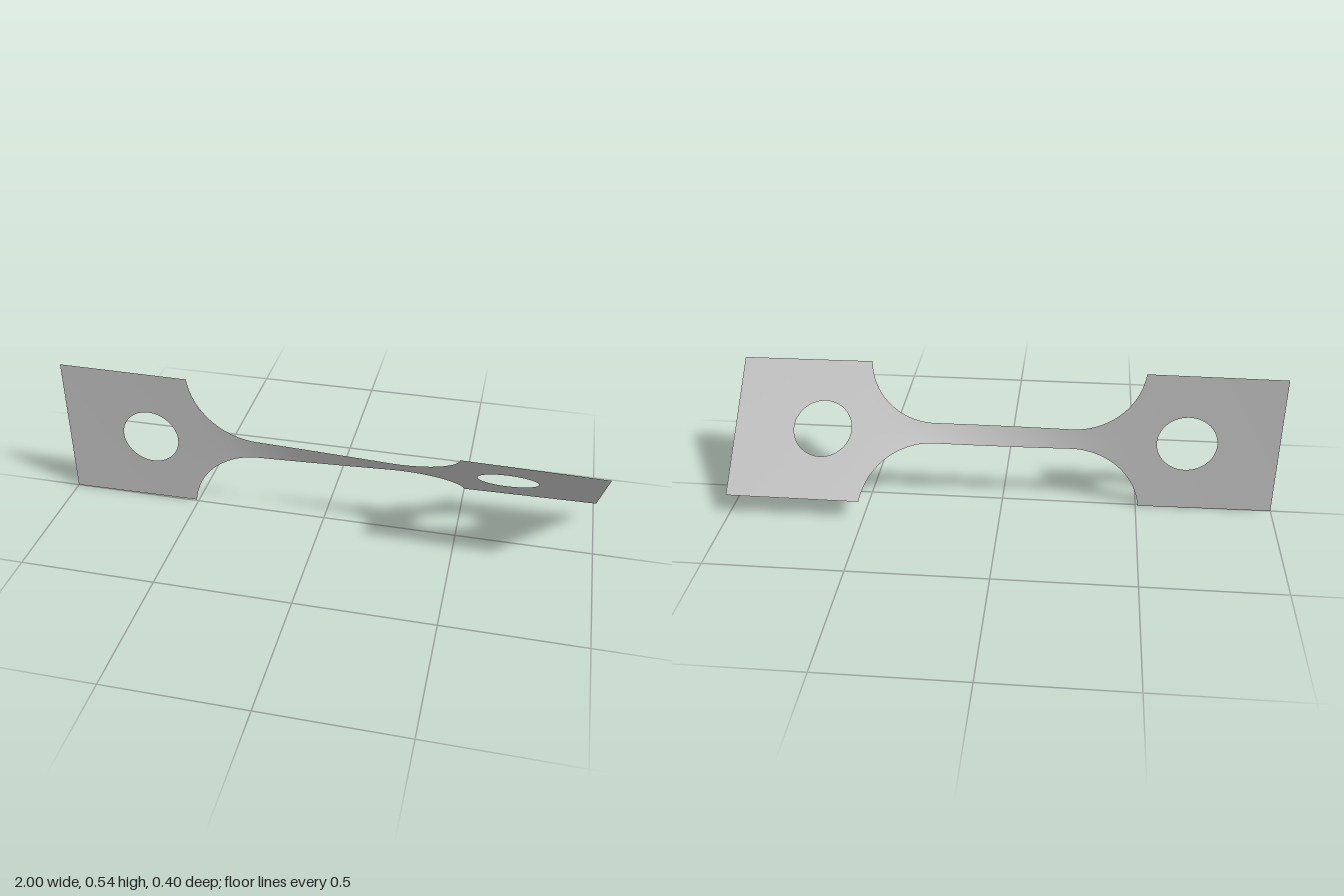
import * as THREE from 'three';
import { mergeVertices } from 'three/addons/utils/BufferGeometryUtils.js';

const GRIP = 0.271;           // half height of the grips, also the axis height
const NECK = 0.038;           // half height of the slender gauge
const FILLET = 0.26;          // radius of the rounded shoulders
const GAUGE_END = 0.25;
const SHOULDER = 0.5086;      // x where shoulder meets the grip edge
const HOLE_X = 0.67, HOLE_R = 0.108;
const TWIST = THREE.MathUtils.degToRad(46.8);

// Half height of the strip at x
function halfHeight(x) {
  const d = Math.abs(x) - GAUGE_END;
  if (d <= 0) return NECK;
  if (d >= SHOULDER - GAUGE_END) return GRIP;
  return Math.min(GRIP, NECK + FILLET - Math.sqrt(FILLET * FILLET - d * d));
}

// Half height of the bolt hole at x
function holeHeight(x) {
  const d = Math.abs(x) - HOLE_X;
  return Math.sqrt(Math.max(0, HOLE_R * HOLE_R - d * d));
}

// Twist accumulates mostly where the strip is narrow
const STEPS = 1000;
const twistTable = [0];
for (let i = 0; i < STEPS; i++) {
  const x = -1 + (2 * (i + 0.5)) / STEPS;
  twistTable.push(twistTable[i] + Math.pow(halfHeight(x), -1.55));
}
function twistAt(x) {
  const t = THREE.MathUtils.clamp((x + 1) / 2, 0, 1) * STEPS;
  const i = Math.min(STEPS - 1, Math.floor(t));
  const sum = THREE.MathUtils.lerp(twistTable[i], twistTable[i + 1], t - i);
  return (TWIST * sum) / twistTable[STEPS];
}

// Evenly spaced stations, or eased towards both ends for round outlines
function stations(a, b, n, eased = false) {
  return Array.from({ length: n + 1 }, (_, i) => {
    const t = eased ? (1 - Math.cos((Math.PI * i) / n)) / 2 : i / n;
    return a + (b - a) * t;
  });
}

// Sheet lofted through the stations: an upper and a lower band around the hole
function twistedSheet(xs) {
  const ROWS = 4, pos = [], index = [];
  for (const side of [1, -1]) {
    const base = pos.length / 3;
    xs.forEach((x, i) => {
      const a = twistAt(x), inner = holeHeight(x), outer = halfHeight(x);
      for (let j = 0; j <= ROWS; j++) {
        const v = side * THREE.MathUtils.lerp(inner, outer, j / ROWS);
        pos.push(x, GRIP + v * Math.cos(a), v * Math.sin(a));
        if (i === 0 || j === 0) continue;
        const d = base + i * (ROWS + 1) + j, c = d - 1;
        const b = d - ROWS - 1, e = b - 1;
        if (side > 0) index.push(e, c, d, e, d, b);
        else index.push(e, d, c, e, b, d);
      }
    });
  }
  const geometry = new THREE.BufferGeometry();
  geometry.setAttribute('position', new THREE.Float32BufferAttribute(pos, 3));
  geometry.setIndex(index);
  const merged = mergeVertices(geometry, 1e-6);
  merged.computeVertexNormals();
  return merged;
}

export function createModel() {
  const group = new THREE.Group();
  group.name = 'twistedTestStrip';
  const steel = new THREE.MeshStandardMaterial({ color: 0xc0c0c0, side: THREE.DoubleSide });
  steel.name = 'greySteel';

  const add = (name, xs) => {
    const mesh = new THREE.Mesh(twistedSheet(xs), steel);
    mesh.name = name;
    group.add(mesh);
  };

  // Right-hand stations, mirrored for the other end
  const grip = [
    ...stations(SHOULDER, HOLE_X - HOLE_R, 3).slice(0, -1),
    ...stations(HOLE_X - HOLE_R, HOLE_X + HOLE_R, 36, true),
    ...stations(HOLE_X + HOLE_R, 1, 8).slice(1),
  ];
  const shoulder = stations(0, Math.asin((SHOULDER - GAUGE_END) / FILLET), 28)
    .map((t) => GAUGE_END + FILLET * Math.sin(t));
  const mirror = (xs) => xs.map((x) => -x).reverse();

  // Grips with bolt holes, rounded shoulders and the twisted gauge between
  add('leftGrip', grip);
  add('rightGrip', mirror(grip));
  add('gaugeWithShoulders', [
    ...mirror(shoulder),
    ...stations(-GAUGE_END, GAUGE_END, 40).slice(1, -1),
    ...shoulder,
  ]);
  return group;
}
